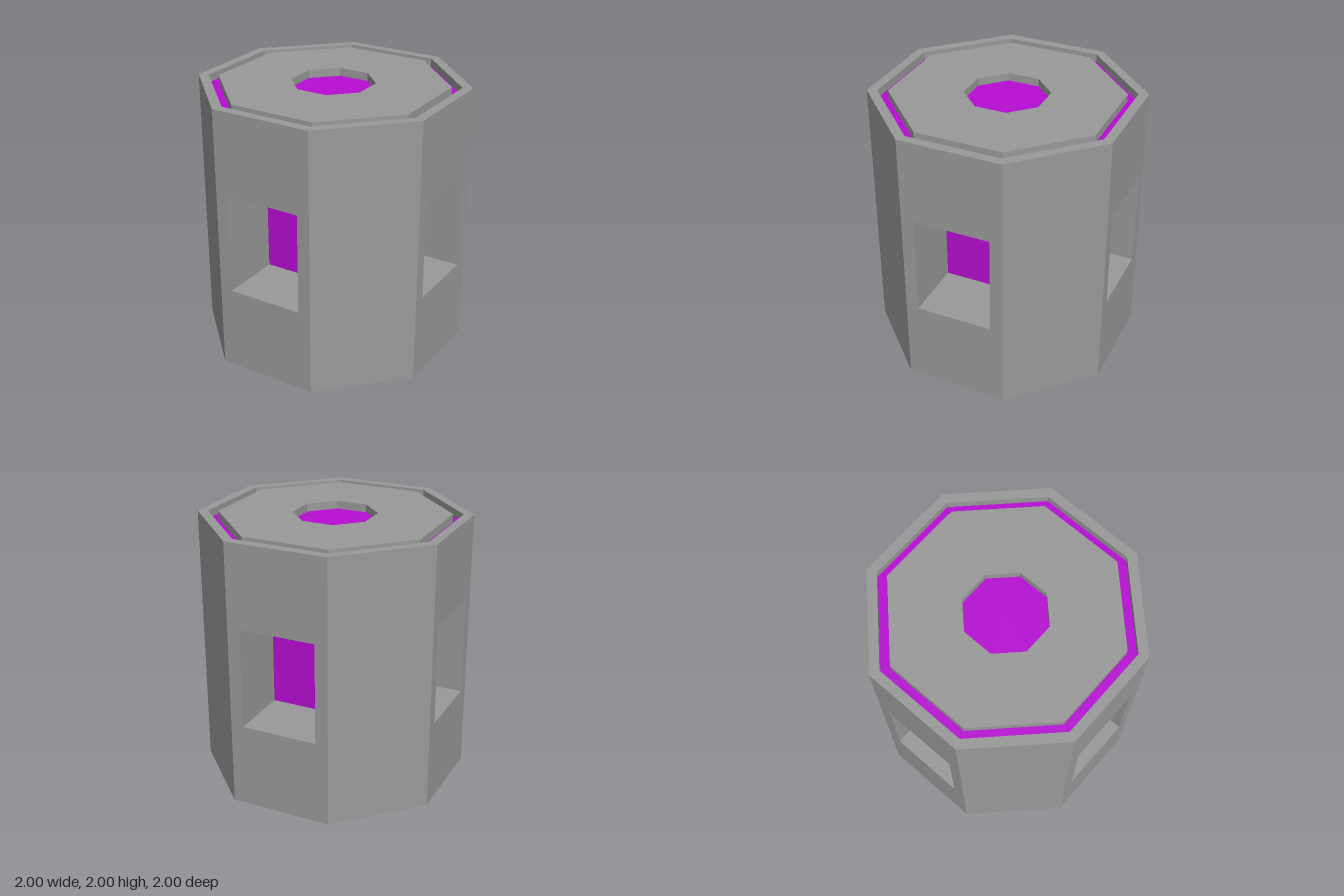
import * as THREE from 'three';

export function createModel() {
  const model = new THREE.Group();
  const grey = new THREE.MeshStandardMaterial({ color: 0x999999 });
  const purple = new THREE.MeshStandardMaterial({ color: 0xb60dd2 });
  grey.name = 'grey shell';
  purple.name = 'purple core';

  const SIDES = 8, HEIGHT = 2, SINK = 0.06;
  const apothem = Math.cos(Math.PI / SIDES);
  const half = Math.sin(Math.PI / SIDES);
  const win = { half: 0.287, low: 0.63, high: 1.38, depth: 0.47 };
  const winMid = (win.low + win.high) / 2, winTall = win.high - win.low;

  const add = (parent, name, geometry, material) => {
    const mesh = new THREE.Mesh(geometry, material);
    mesh.name = name;
    parent.add(mesh);
    return mesh;
  };

  // Octagonal band swept from a (radius, height) profile, with flat facets
  const band = (profile) => {
    const points = profile.map(([r, y]) => new THREE.Vector2(r, y));
    const geometry = new THREE.LatheGeometry(points, SIDES).toNonIndexed();
    geometry.computeVertexNormals();
    return geometry;
  };
  const disc = (radius, y, up) =>
    new THREE.CircleGeometry(radius, SIDES).rotateX(up ? -Math.PI / 2 : Math.PI / 2).translate(0, y, 0);

  const rect = (target, x, y0, y1) => target
    .moveTo(-x, y0).lineTo(x, y0).lineTo(x, y1).lineTo(-x, y1).closePath();

  // Eight side walls, every second one with a deep window
  for (let i = 0; i < SIDES; i++) {
    const side = new THREE.Group();
    side.name = i % 2 ? 'plainSide' : 'windowSide';
    side.rotation.y = (i - 0.5) * Math.PI * 2 / SIDES;
    model.add(side);

    const shape = rect(new THREE.Shape(), half, 0, HEIGHT);
    if (i % 2 === 0) shape.holes.push(rect(new THREE.Path(), win.half, win.low, win.high));
    add(side, 'wall', new THREE.ShapeGeometry(shape).translate(0, 0, apothem), grey);
    if (i % 2) continue;

    // Window recess: jambs, sill, lintel and the coloured back
    const z = apothem - win.depth / 2;
    for (const s of [-1, 1]) {
      add(side, s < 0 ? 'rightJamb' : 'leftJamb',
        new THREE.PlaneGeometry(win.depth, winTall).rotateY(-s * Math.PI / 2)
          .translate(s * win.half, winMid, z), grey);
      add(side, s < 0 ? 'sill' : 'lintel',
        new THREE.PlaneGeometry(win.half * 2, win.depth).rotateX(s * Math.PI / 2)
          .translate(0, winMid + s * winTall / 2, z), grey);
    }
    add(side, 'windowBack', new THREE.PlaneGeometry(win.half * 2, winTall)
      .translate(0, winMid, apothem - win.depth), purple);
  }

  // Top: rim, sunken groove, raised deck and sunken centre
  const floor = HEIGHT - SINK;
  add(model, 'rim', band([[1, HEIGHT], [0.925, HEIGHT], [0.925, floor]]), grey);
  add(model, 'grooveFloor', band([[0.925, floor], [0.85, floor]]), purple);
  add(model, 'deck', band([[0.85, floor], [0.85, HEIGHT], [0.31, HEIGHT], [0.31, floor]]), grey);
  add(model, 'centreFloor', disc(0.31, floor, true), purple);

  // Underside
  add(model, 'base', disc(1, 0, false), grey);
  return model;
}
